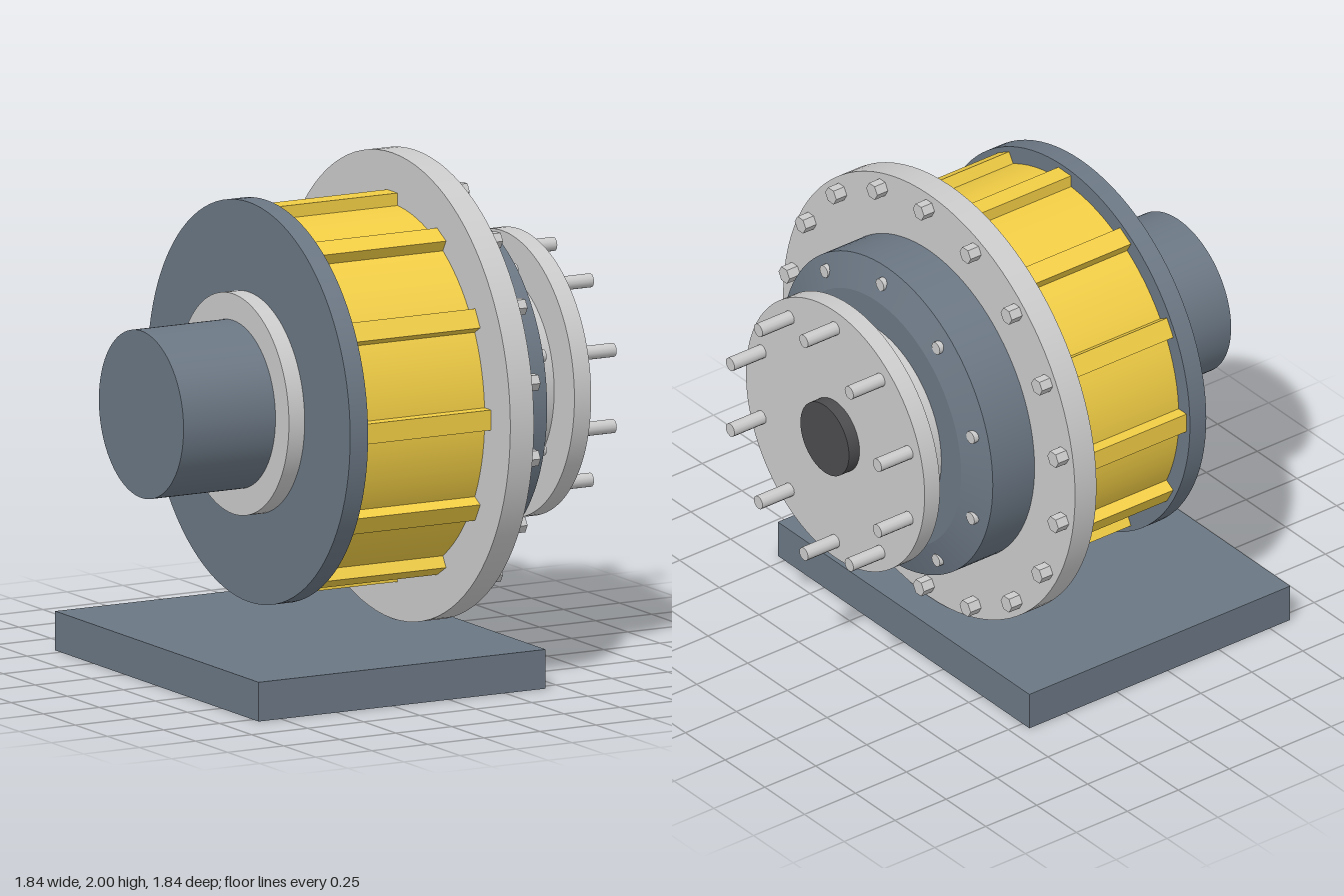
import * as THREE from 'three';

const AXIS_Y = 1.08;
const mat = (color, flatShading = false) => new THREE.MeshStandardMaterial({ color, flatShading });
const grey = mat(0xcccccc);
const greyFlat = mat(0xcccccc, true);
const slate = mat(0x6b7784);
const yellow = mat(0xf2ce45);
const black = mat(0x4c4b4e);

export function createModel() {
  const model = new THREE.Group();
  const add = (parent, name, geometry, material, x, y, z) => {
    const mesh = new THREE.Mesh(geometry, material);
    mesh.name = name;
    mesh.position.set(x, y, z);
    parent.add(mesh);
    return mesh;
  };

  // Everything round shares one horizontal axis along x
  const rotor = new THREE.Group();
  rotor.name = 'driveAssembly';
  rotor.position.y = AXIS_Y;
  model.add(rotor);

  // Cylinder from x0 to x1, with an optional second radius at x1
  const tube = (x0, x1, r0, r1 = r0, sides = 96) =>
    new THREE.CylinderGeometry(r1, r0, x1 - x0, sides).rotateZ(-Math.PI / 2);
  const disc = (name, x0, x1, material, r0, r1) =>
    add(rotor, name, tube(x0, x1, r0, r1), material, (x0 + x1) / 2, 0, 0);

  // Ring of identical fasteners, the first at the top
  const boltRing = (name, count, ringRadius, x0, x1, r, sides, material) => {
    const ring = new THREE.Group();
    ring.name = name + 's';
    rotor.add(ring);
    const geometry = tube(x0, x1, r, r, sides);
    for (let i = 0; i < count; i++) {
      const a = (i / count) * Math.PI * 2;
      add(ring, name, geometry, material, (x0 + x1) / 2, ringRadius * Math.cos(a), ringRadius * Math.sin(a));
    }
  };

  // Base plate
  add(model, 'basePlate', new THREE.BoxGeometry(1.28, 0.155, 1.585), slate, -0.21, 0.0775, 0);

  // Motor end
  disc('motor', -0.92, -0.51, slate, 0.33);
  disc('motorCollar', -0.51, -0.44, grey, 0.435);
  disc('rearPlate', -0.44, -0.36, slate, 0.79);

  // Drum with twelve ribs
  disc('drum', -0.36, 0.2, yellow, 0.72);
  const ribs = new THREE.Group();
  ribs.name = 'drumRibs';
  rotor.add(ribs);
  const ribGeometry = new THREE.BoxGeometry(0.56, 0.07, 0.08);
  for (let i = 0; i < 12; i++) {
    const a = (i / 12) * Math.PI * 2;
    const rib = add(ribs, 'drumRib', ribGeometry, yellow, -0.08, 0.733 * Math.cos(a), 0.733 * Math.sin(a));
    rib.rotation.x = a;
  }

  // Main flange and its hex bolts
  disc('mainFlange', 0.2, 0.305, grey, 0.92);
  boltRing('flangeBolt', 18, 0.86, 0.3, 0.357, 0.035, 6, greyFlat);

  // Bearing housing with chamfered cover
  disc('bearingHousing', 0.305, 0.51, slate, 0.665);
  disc('housingChamfer', 0.51, 0.56, slate, 0.665, 0.53);
  boltRing('coverBolt', 10, 0.6, 0.505, 0.547, 0.026, 12, grey);

  // Output hub, studs and shaft end
  disc('hubNeck', 0.56, 0.69, grey, 0.405);
  disc('hubFlange', 0.69, 0.765, grey, 0.563);
  boltRing('wheelStud', 10, 0.487, 0.76, 0.92, 0.028, 12, grey);
  disc('shaftEnd', 0.765, 0.817, black, 0.153);

  return model;
}
